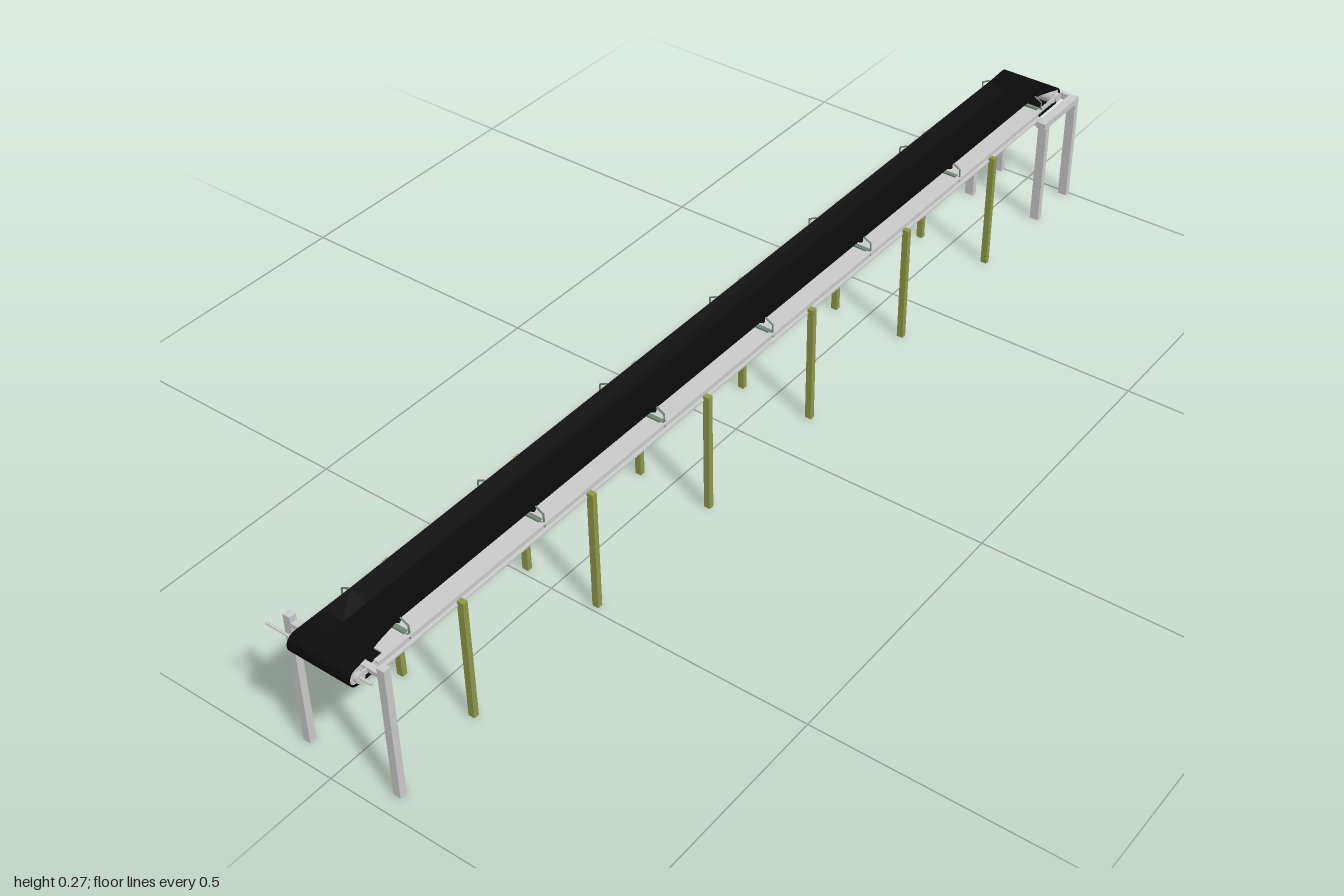
import * as THREE from 'three';

const MID = 0.0105; // z of the conveyor centreline
const grey = new THREE.MeshStandardMaterial({ color: 0xcccccc });
const black = new THREE.MeshStandardMaterial({ color: 0x0b0b0b, side: THREE.DoubleSide, flatShading: true });
const olive = new THREE.MeshStandardMaterial({ color: 0x8f9a48 });
const green = new THREE.MeshStandardMaterial({ color: 0x6f8878 });

export function createModel() {
  const model = new THREE.Group();
  model.name = 'beltConveyor';

  function add(name, geometry, material) {
    const mesh = new THREE.Mesh(geometry, material);
    mesh.name = name;
    model.add(mesh);
    return mesh;
  }
  // Box given by its limits on each axis; z is measured from the centreline
  function box(name, x0, x1, y0, y1, z0, z1, material = grey) {
    const mesh = add(name, new THREE.BoxGeometry(x1 - x0, y1 - y0, Math.abs(z1 - z0)), material);
    mesh.position.set((x0 + x1) / 2, (y0 + y1) / 2, MID + (z0 + z1) / 2);
  }
  // Round bar between two points; z is measured from the centreline
  function bar(name, a, b, radius, material = grey, sides = 16) {
    const p = new THREE.Vector3(...a), q = new THREE.Vector3(...b);
    const d = q.clone().sub(p);
    const mesh = add(name, new THREE.CylinderGeometry(radius, radius, d.length(), sides), material);
    mesh.position.copy(p).add(q).multiplyScalar(0.5);
    mesh.position.z += MID;
    mesh.quaternion.setFromUnitVectors(new THREE.Vector3(0, 1, 0), d.normalize());
  }

  // Belt loop: troughed carrying side, flat round the pulleys and on the return
  const AXIS = 0.2395, R = 0.0175, T = 0.003, X0 = -0.9825, X1 = 0.9475;
  const stations = []; // x, y, outward normal, trough amount
  for (const [x, t] of [[-0.96, 0.2], [-0.93, 0.6], [-0.88, 1], [0.88, 1], [0.91, 0.6], [0.935, 0.2]])
    stations.push([x, AXIS + R, 0, 1, t]);
  for (const [cx, start] of [[X1, Math.PI / 2], [X0, -Math.PI / 2]])
    for (let i = 0; i <= 12; i++) {
      const a = start - (i / 12) * Math.PI, c = Math.cos(a), s = Math.sin(a);
      stations.push([cx + R * c, AXIS + R * s, c, s, 0]);
    }
  const pos = [], index = [], ring = 8;
  for (const [x, y, nx, ny, t] of stations) {
    const edge = 0.06 - 0.011 * t, rise = 0.011 * t;
    const across = [[-edge, rise], [-0.017, 0], [0.017, 0], [edge, rise]];
    for (const [z, h] of across) pos.push(x, y + h, MID + z);
    for (const [z, h] of across.reverse()) pos.push(x - nx * T, y + h - ny * T, MID + z);
  }
  const n = stations.length;
  for (let i = 0; i < n; i++)
    for (let j = 0; j < ring; j++) {
      const a = i * ring + j, b = i * ring + (j + 1) % ring;
      const c = ((i + 1) % n) * ring + j, d = ((i + 1) % n) * ring + (j + 1) % ring;
      index.push(a, b, c, b, d, c);
    }
  const beltGeometry = new THREE.BufferGeometry();
  beltGeometry.setAttribute('position', new THREE.Float32BufferAttribute(pos, 3));
  beltGeometry.setIndex(index);
  beltGeometry.computeVertexNormals();
  add('belt', beltGeometry, black);

  // Pulleys, shafts and bearings
  for (const x of [X0, X1]) {
    bar('pulley', [x, AXIS, -0.058], [x, AXIS, 0.058], R - T, grey, 24);
    bar('pulleyShaft', [x, AXIS, x < 0 ? -0.118 : -0.068], [x, AXIS, x < 0 ? 0.088 : 0.068], 0.0025);
    for (const s of [-1, 1])
      bar('bearing', [x, AXIS, s * 0.06], [x, AXIS, s * 0.067], 0.009, grey, 20);
  }

  // Deck plate between the two strands
  box('deckPlate', -0.93, 0.88, 0.239, 0.242, -0.06, 0.06);

  for (const s of [-1, 1]) {
    // Channel side rails with narrow arms out to the pulleys
    box('railWeb', -0.95, 0.88, 0.226, 0.245, s * 0.06, s * 0.063);
    box('railTopFlange', -0.95, 0.88, 0.242, 0.245, s * 0.063, s * 0.069);
    box('railBottomFlange', -0.95, 0.88, 0.226, 0.229, s * 0.063, s * 0.069);
    box('pulleyArm', X0, -0.95, 0.235, 0.244, s * 0.061, s * 0.064);
    box('pulleyArm', 0.88, X1, 0.235, 0.244, s * 0.061, s * 0.064);

    // Slim intermediate legs
    for (let i = 0; i < 6; i++) {
      const x = -0.781 + i * 0.295;
      box('intermediateLeg', x - 0.005, x + 0.005, 0, 0.235, s * 0.067, s * 0.079, olive);
    }

    // Tall legs at the drive end
    box('driveEndLeg', -0.968, -0.955, 0, 0.257, s * 0.084, s * 0.098);

    // Table legs and side beams at the tail end
    for (const x of [0.883, 0.994])
      box('tailEndLeg', x - 0.006, x + 0.006, 0, 0.21, s * 0.066, s * 0.084);
    box('tailSideBeam', 0.87, 1, 0.21, 0.223, s * 0.066, s * 0.084);
  }

  // Cross members
  box('driveCrossbar', -0.967, -0.956, 0.237, 0.245, -0.088, 0.088);
  box('tailCrossbar', 0.992, 1, 0.21, 0.223, -0.066, 0.066);
  box('tailCrossbar', 0.878, 0.888, 0.208, 0.219, -0.066, 0.066);

  // Troughing idler sets: three rollers on a base, held by bent side brackets
  for (let i = 0; i < 7; i++) {
    const x = -0.882 + i * 0.294;
    box('idlerBase', x - 0.004, x + 0.004, 0.241, 0.245, -0.066, 0.066, green);
    bar('centreRoller', [x, 0.2493, -0.016], [x, 0.2493, 0.016], 0.0045, black, 12);
    for (const s of [-1, 1]) {
      bar('wingRoller', [x, 0.2505, s * 0.019], [x, 0.26, s * 0.046], 0.0045, black, 12);
      bar('idlerBracket', [x, 0.235, s * 0.065], [x, 0.26, s * 0.065], 0.0015, green, 8);
      bar('idlerBracketArm', [x, 0.26, s * 0.065], [x, 0.268, s * 0.05], 0.0015, green, 8);
    }
  }
  return model;
}
